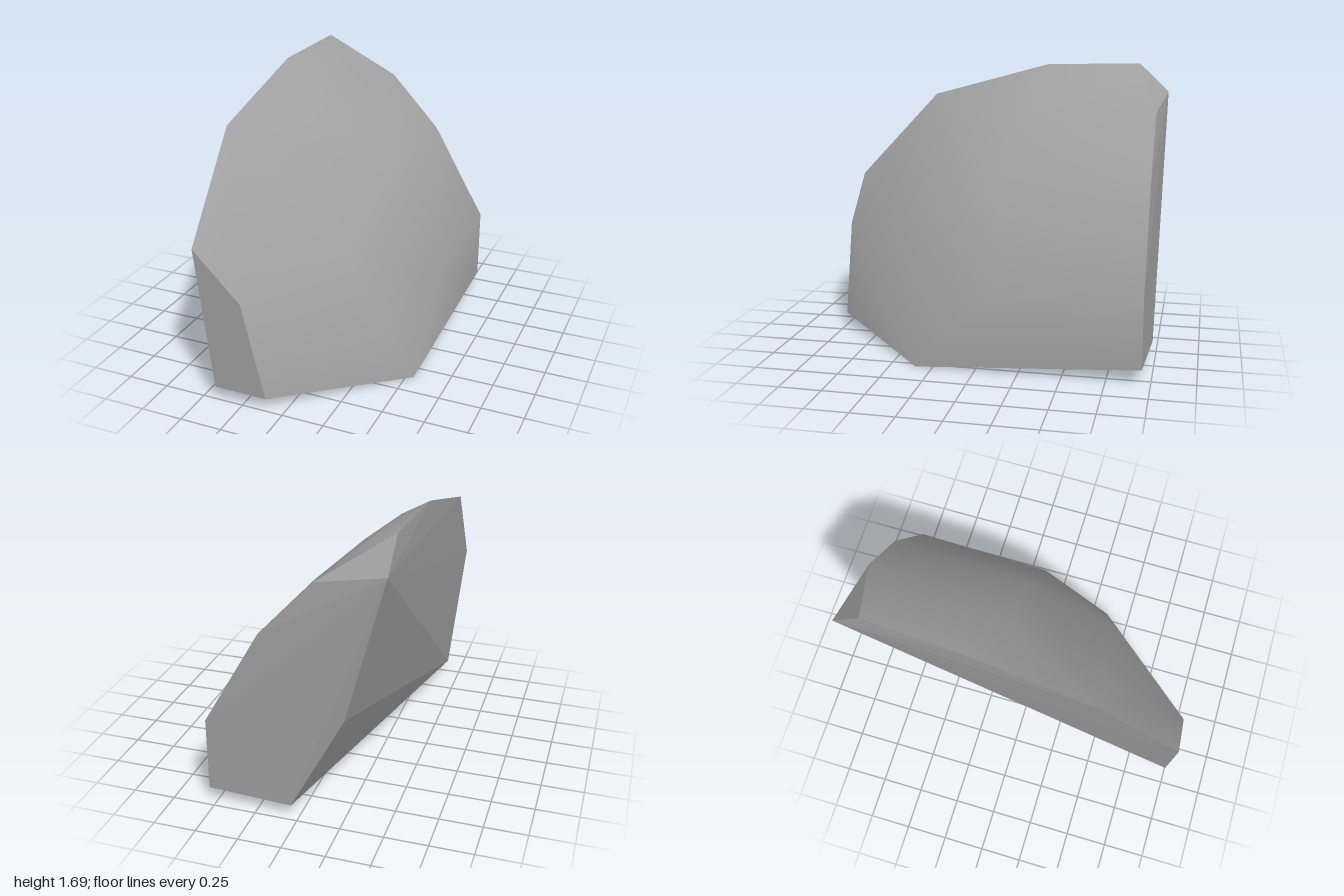
import * as THREE from 'three';
import { ConvexGeometry } from 'three/addons/geometries/ConvexGeometry.js';

// Corners of the cut boulder, grouped by region
const corners = [
  // front cut
  [-0.42, 0.08, 1], [-0.1, 0.08, 1], [-0.235, 0.65, 1], [-0.515, 0.93, 1],
  // base
  [0.545, 0, 0.35], [0.545, 0.08, -0.95], [0.04, 0.08, -0.98],
  // back cut
  [0.545, 0.52, -0.95], [0.21, 1.1, -0.95], [-0.1, 1.43, -0.95], [-0.5, 1.52, -1], [-0.26, 0.65, -0.94],
  // top ridge
  [-0.55, 1.47, 0.5], [-0.53, 1.675, -0.24], [-0.5, 1.69, -0.82], [-0.38, 1.645, -0.73],
  // rounded flank
  [0.545, 0.47, -0.1], [0.19, 1.07, -0.1], [-0.12, 1.36, -0.1], [-0.36, 1.57, -0.2], [0.17, 0.79, 0.45],
];

// Blend normals over the weathered flank only; the broken cuts stay flat
function smoothFlank(geometry) {
  const pos = geometry.attributes.position;
  const nor = geometry.attributes.normal;
  const sums = new Map();
  const flank = [];
  const key = (i) => [pos.getX(i), pos.getY(i), pos.getZ(i)].map((v) => v.toFixed(3)).join();
  const p = [new THREE.Vector3(), new THREE.Vector3(), new THREE.Vector3()];
  const n = new THREE.Vector3();
  for (let i = 0; i < pos.count; i += 3) {
    p.forEach((v, k) => v.fromBufferAttribute(pos, i + k));
    n.fromBufferAttribute(nor, i);
    if (n.x < 0.1 || n.z < -0.5 || n.z > 0.93 || n.y < -0.5) continue;
    for (let k = 0; k < 3; k++) {
      const a = p[(k + 1) % 3].clone().sub(p[k]);
      const b = p[(k + 2) % 3].clone().sub(p[k]);
      const id = key(i + k);
      if (!sums.has(id)) sums.set(id, new THREE.Vector3());
      sums.get(id).addScaledVector(n, a.angleTo(b));
      flank.push(i + k);
    }
  }
  for (const i of flank) {
    n.copy(sums.get(key(i))).normalize();
    nor.setXYZ(i, n.x, n.y, n.z);
  }
  return geometry;
}

export function createModel() {
  const group = new THREE.Group();
  group.name = 'boulder';
  const stone = new THREE.MeshStandardMaterial({ color: 0xa0a0a0 });
  stone.name = 'grey stone';

  const geometry = new ConvexGeometry(corners.map((c) => new THREE.Vector3(...c)));
  const rock = new THREE.Mesh(smoothFlank(geometry), stone);
  rock.name = 'rock';
  group.add(rock);
  return group;
}
